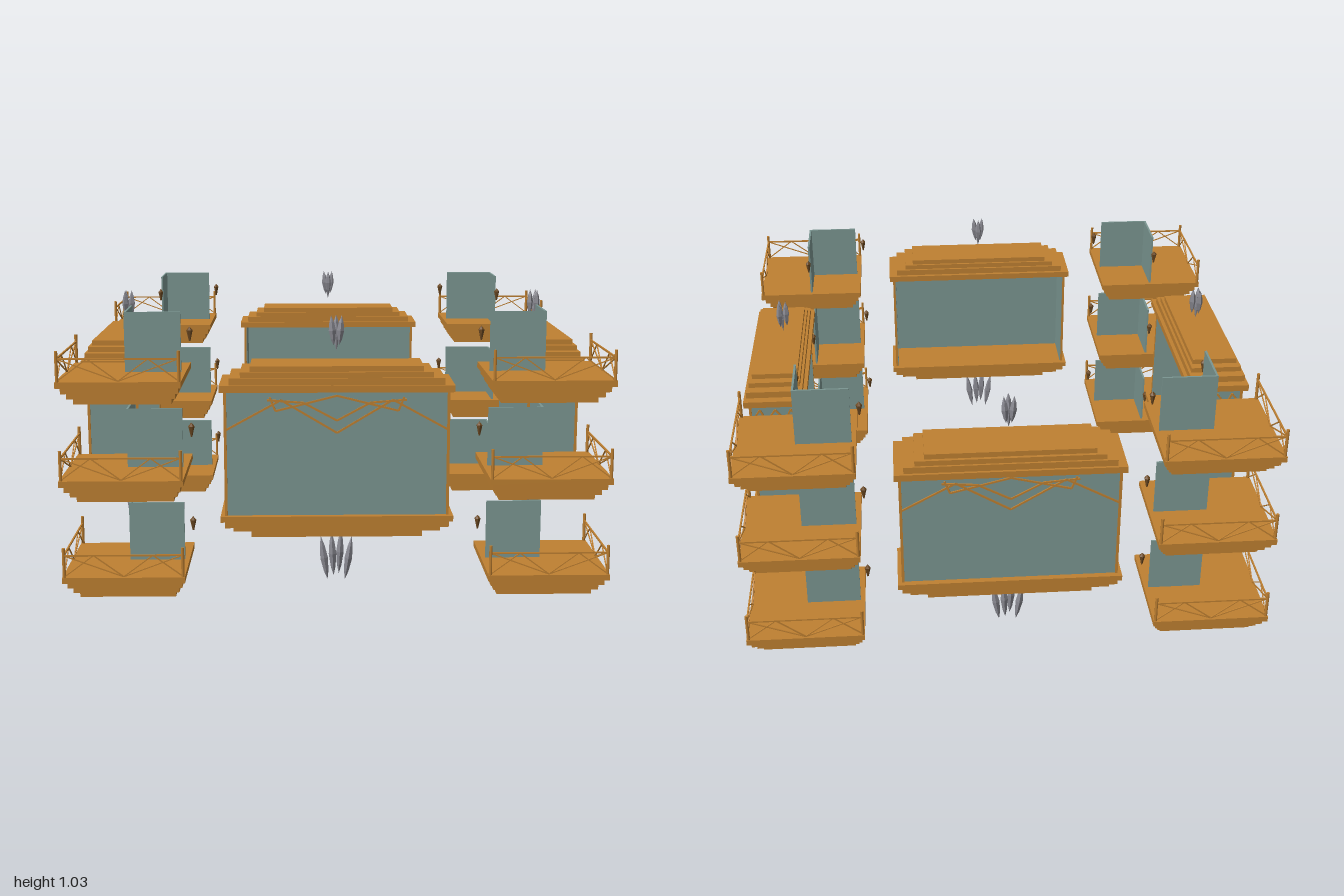
import * as THREE from 'three';

const mat = (name, color, double) => {
  const m = new THREE.MeshStandardMaterial({ color });
  m.name = name;
  if (double) m.side = THREE.DoubleSide;
  return m;
};

export function createModel() {
  const wood = mat('ochre wood', 0xbf8031);
  const wall = mat('grey green wall', 0x7b9691);
  const crystalGrey = mat('crystal grey', 0x8a8a92);
  const bronze = mat('dark bronze', 0x6e4a22);
  const model = new THREE.Group();

  const add = (parent, name, geo, material, x = 0, y = 0, z = 0) => {
    const m = new THREE.Mesh(geo, material);
    m.name = name;
    m.position.set(x, y, z);
    parent.add(m);
    return m;
  };

  // box given by its limits
  const block = (parent, name, material, x0, x1, y0, y1, z0, z1) =>
    add(parent, name, new THREE.BoxGeometry(x1 - x0, y1 - y0, z1 - z0), material,
      (x0 + x1) / 2, (y0 + y1) / 2, (z0 + z1) / 2);

  // thin square bar between two points
  const bar = (parent, name, a, b, size) => {
    const p = new THREE.Vector3(...a), q = new THREE.Vector3(...b);
    const m = add(parent, name, new THREE.BoxGeometry(size, size, p.distanceTo(q)), wood);
    m.position.copy(p).lerp(q, 0.5);
    m.lookAt(q);
    return m;
  };

  // polyline of bars; place() maps (u, y) to a wall surface
  const trim = (parent, points, place) => {
    for (let i = 1; i < points.length; i++) {
      bar(parent, 'wallTrim', place(...points[i - 1]), place(...points[i]), 0.007);
    }
  };

  // faceted leaf-shaped crystal, pointed at both ends
  const leaf = (parent, x, y, z, height, radius, lean) => {
    const pts = [[0, -0.5], [0.6, -0.3], [1, 0], [0.65, 0.27], [0, 0.5]]
      .map(([r, h]) => new THREE.Vector2(r * radius, h * height));
    const m = add(parent, 'crystalLeaf', new THREE.LatheGeometry(pts, 5), crystalGrey, x, y, z);
    m.rotation.z = lean;
  };

  const buildBay = () => {
    const bay = new THREE.Group();
    bay.name = 'bay';

    // stepped roof and stepped base: half width, y range, z range
    [[0.42, 0.77, 0.795, 0.755, 0.998], [0.385, 0.795, 0.82, 0.77, 0.988],
      [0.345, 0.82, 0.84, 0.78, 0.98], [0.31, 0.84, 0.86, 0.79, 0.968]]
      .forEach(([w, y0, y1, z0, z1]) => block(bay, 'roofStep', wood, -w, w, y0, y1, z0, z1));
    [[0.42, 0.295, 0.316, 0.755, 0.998], [0.405, 0.272, 0.295, 0.765, 0.99],
      [0.375, 0.256, 0.272, 0.775, 0.98], [0.31, 0.232, 0.256, 0.79, 0.968]]
      .forEach(([w, y0, y1, z0, z1]) => block(bay, 'baseStep', wood, -w, w, y0, y1, z0, z1));

    // three walls, open towards the middle
    block(bay, 'outerWall', wall, -0.4, 0.4, 0.316, 0.77, 0.967, 0.975);
    for (const s of [-1, 1]) {
      const w = block(bay, 'endWall', wall, -0.004, 0.004, 0.316, 0.77, 0.78, 0.975);
      w.position.x = s * 0.396;
      for (const z of [0.975, 0.783]) {
        add(bay, 'cornerPost', new THREE.BoxGeometry(0.01, 0.454, 0.01), wood, s * 0.4, 0.543, z);
      }
    }

    // zigzag trims on the long wall
    const front = (u, y) => [u, y, 0.976];
    trim(bay, [[-0.4, 0.63], [-0.2, 0.74], [0, 0.62], [0.2, 0.74], [0.4, 0.63]], front);
    trim(bay, [[-0.24, 0.75], [-0.22, 0.70], [0, 0.755], [0.22, 0.70], [0.24, 0.75]], front);
    trim(bay, [[-0.25, 0.74], [-0.12, 0.73], [0, 0.665], [0.12, 0.73], [0.25, 0.74]], front);

    // zigzag trims on the short walls
    for (const s of [-1, 1]) {
      const end = (u, y) => [s * 0.401, y, 0.878 + u];
      trim(bay, [[-0.095, 0.70], [-0.06, 0.75], [0, 0.62], [0.06, 0.75], [0.095, 0.70]], end);
      trim(bay, [[-0.05, 0.68], [0, 0.75], [0.05, 0.68]], end);
    }

    // crystals above the roof and below the base
    for (let i = 0; i < 3; i++) {
      const a = i * Math.PI * 2 / 3 + 0.5;
      leaf(bay, Math.cos(a) * 0.017, 0.975, 0.86 + Math.sin(a) * 0.017, 0.11, 0.014, -Math.cos(a) * 0.1);
    }
    leaf(bay, 0, 0.95, 0.86, 0.1, 0.009, 0);
    [[-0.045, 0.12, 0.862, 0.15], [-0.014, 0.14, 0.875, 0.05],
      [0.014, 0.14, 0.85, -0.05], [0.045, 0.12, 0.865, -0.15]]
      .forEach(([x, y, z, lean]) => leaf(bay, x, y, z, 0.17, 0.015, lean));
    return bay;
  };

  const buildBalcony = () => {
    const b = new THREE.Group();
    b.name = 'balcony';

    // stepped square platform
    for (let i = 0; i < 4; i++) {
      const inset = [0.055, 0.034, 0.016, 0][i];
      block(b, 'platformStep', wood, 0.553 + inset * 0.7, 0.998 - inset, i * 0.0225, (i + 1) * 0.0225,
        0.553 + inset * 0.7, 0.998 - inset);
    }

    // two walls meeting in a corner
    block(b, 'screenWall', wall, 0.57, 0.777, 0.09, 0.312, 0.769, 0.777);
    block(b, 'screenWall', wall, 0.769, 0.777, 0.09, 0.312, 0.57, 0.769);

    // railing along both outer edges
    const edges = [(u, y) => [u, y, 0.99], (u, y) => [0.99, y, u]];
    const lo = 0.56, hi = 0.99, mid = 0.775;
    for (const e of edges) {
      bar(b, 'topRail', e(lo, 0.172), e(hi, 0.172), 0.006);
      for (const end of [lo, hi]) {
        bar(b, 'railBrace', e(mid, 0.092), e(end, 0.172), 0.004);
        bar(b, 'railBrace', e((mid + end) / 2, 0.172), e(mid, 0.092), 0.004);
        bar(b, 'railBrace', e((mid + end) / 2, 0.172), e(end, 0.092), 0.004);
      }
    }
    for (const [x, z] of [[lo, hi], [hi, hi], [hi, lo]]) {
      add(b, 'railPost', new THREE.CylinderGeometry(0.006, 0.006, 0.11, 6), wood, x, 0.145, z);
    }

    // small lanterns off the free ends of the walls
    for (const [x, z] of [[0.537, 0.777], [0.777, 0.537]]) {
      add(b, 'lanternBody', new THREE.CylinderGeometry(0.012, 0.003, 0.04, 6), bronze, x, 0.225, z);
      add(b, 'lanternCap', new THREE.ConeGeometry(0.012, 0.014, 6), bronze, x, 0.252, z);
    }
    return b;
  };

  // four bays and four corner stacks of three balconies
  for (let k = 0; k < 4; k++) {
    const bay = buildBay();
    bay.rotation.y = k * Math.PI / 2;
    model.add(bay);
    const stack = new THREE.Group();
    stack.name = 'cornerStack';
    for (let level = 0; level < 3; level++) {
      const b = buildBalcony();
      b.position.y = level * 0.36;
      stack.add(b);
    }
    stack.rotation.y = k * Math.PI / 2;
    model.add(stack);
  }
  crystalGrey.flatShading = true;
  bronze.flatShading = true;
  return model;
}
